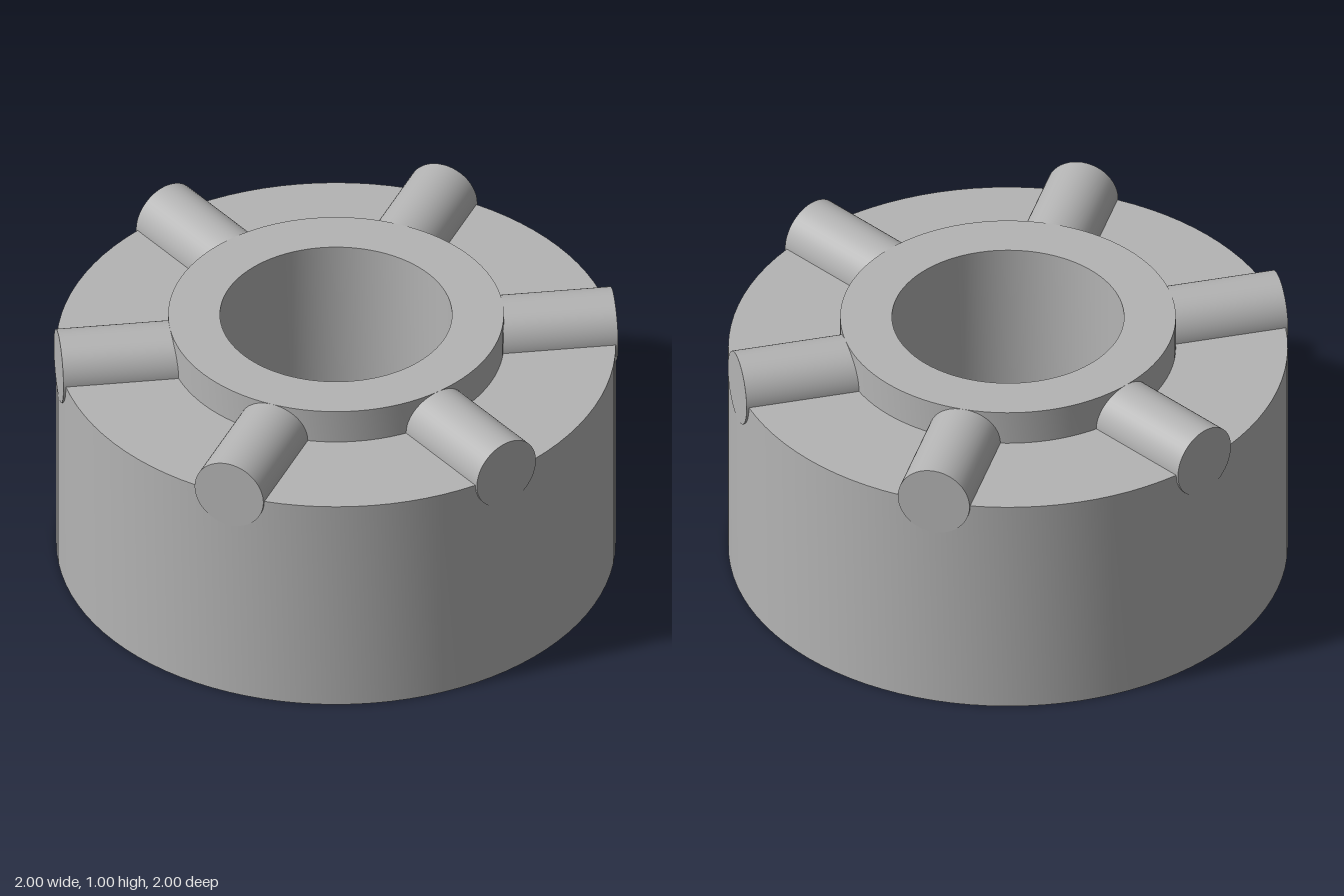
import * as THREE from 'three';
import { toCreasedNormals } from 'three/addons/utils/BufferGeometryUtils.js';

export function createModel() {
  const model = new THREE.Group();
  model.name = 'clutchHub';

  const grey = new THREE.MeshStandardMaterial({ color: 0xb4b4b4 });
  grey.name = 'grey';

  // Stepped round body with a raised collar and a blind bore
  const profile = [
    [0, 0], [1, 0], [1, 0.867], [0.6, 0.867],
    [0.6, 1], [0.415, 1], [0.415, 0.2], [0, 0.2],
  ].map(([r, y]) => new THREE.Vector2(r, y));
  const body = new THREE.Mesh(
    toCreasedNormals(new THREE.LatheGeometry(profile, 96), Math.PI / 6), grey);
  body.name = 'body';
  model.add(body);

  // Six round teeth radiating from the collar, half sunk into the body
  const inner = 0.5, outer = 1, radius = 0.133;
  const toothGeometry = new THREE.CylinderGeometry(radius, radius, outer - inner, 48);
  toothGeometry.rotateZ(-Math.PI / 2);
  toothGeometry.translate((inner + outer) / 2, 0.867, 0);
  for (let i = 0; i < 6; i++) {
    const tooth = new THREE.Mesh(toothGeometry, grey);
    tooth.name = `tooth${i + 1}`;
    tooth.rotation.y = (i * Math.PI) / 3;
    model.add(tooth);
  }

  return model;
}
